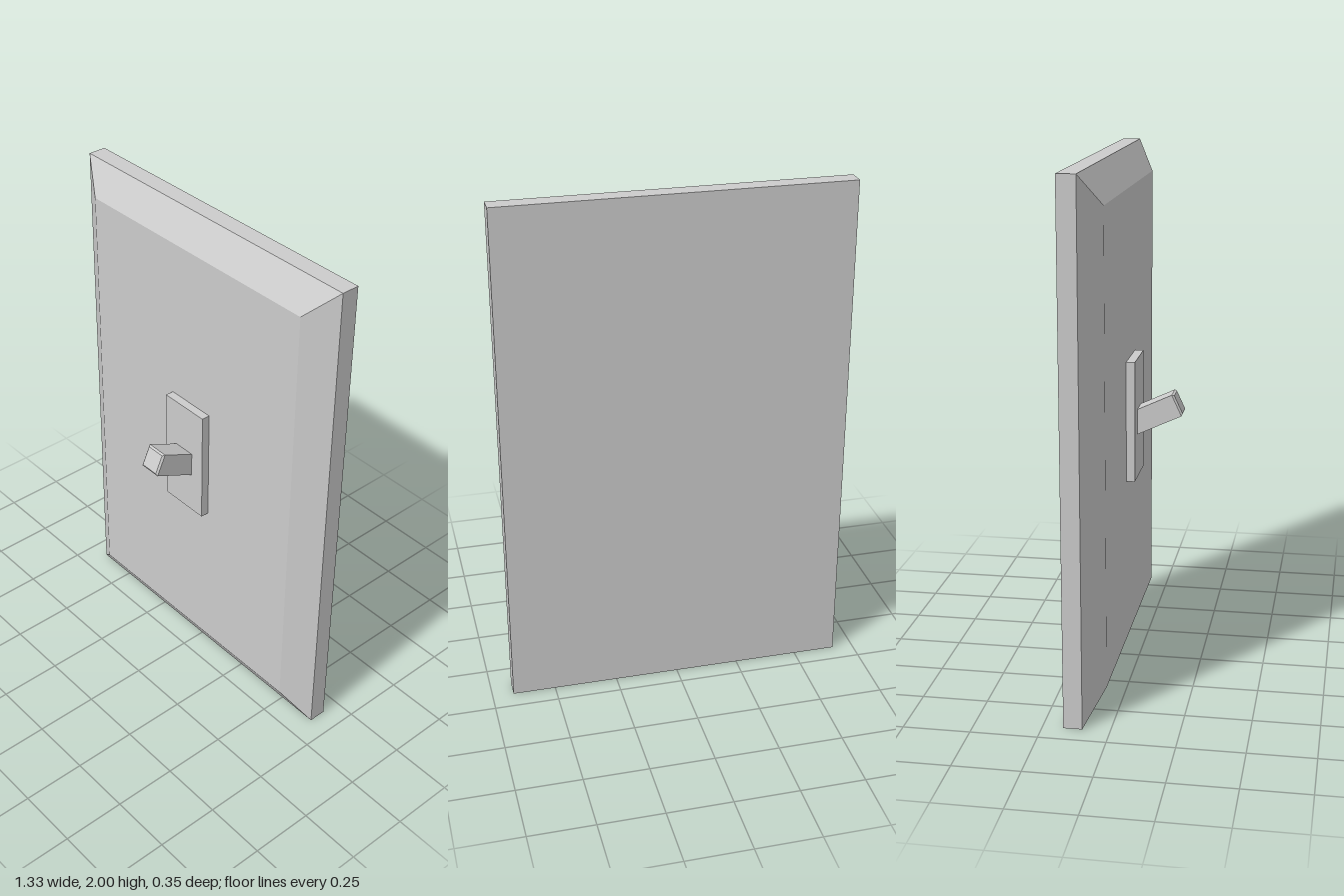
import * as THREE from 'three';

const material = new THREE.MeshStandardMaterial({ color: 0xcccccc, flatShading: true });

// Closed solid lofted through rectangular sections [halfWidth, halfHeight, z], back to front
function loftRectangles(name, sections) {
  const rings = sections.map(([w, h, z]) => [[-w, -h, z], [w, -h, z], [w, h, z], [-w, h, z]]);
  const positions = [];
  const quad = (a, b, c, d) => positions.push(...a, ...b, ...c, ...a, ...c, ...d);
  for (let i = 0; i < rings.length - 1; i++) {
    const back = rings[i], front = rings[i + 1];
    for (let k = 0; k < 4; k++) {
      const n = (k + 1) % 4;
      quad(back[k], back[n], front[n], front[k]);
    }
  }
  const first = rings[0], last = rings[rings.length - 1];
  quad(first[3], first[2], first[1], first[0]);
  quad(last[0], last[1], last[2], last[3]);

  const geometry = new THREE.BufferGeometry();
  geometry.setAttribute('position', new THREE.Float32BufferAttribute(positions, 3));
  geometry.computeVertexNormals();
  const mesh = new THREE.Mesh(geometry, material);
  mesh.name = name;
  return mesh;
}

export function createModel() {
  const model = new THREE.Group();
  model.name = 'lightSwitch';

  // Wall plate: straight rim with a wide bevel towards the front
  const plate = loftRectangles('wallPlate', [
    [0.667, 1, -0.173],
    [0.667, 1, -0.103],
    [0.55, 0.883, -0.033],
  ]);
  plate.position.y = 1;

  // Raised rectangle around the lever
  const surround = new THREE.Mesh(new THREE.BoxGeometry(0.21, 0.47, 0.044), material);
  surround.name = 'leverSurround';
  surround.position.set(0, 1.003, -0.022);

  // Lever tilted upwards, with a small chamfer at its tip
  const lever = loftRectangles('toggleLever', [
    [0.045, 0.045, -0.03],
    [0.045, 0.045, 0.167],
    [0.038, 0.038, 0.174],
  ]);
  lever.position.set(0, 0.99, 0);
  lever.rotation.x = THREE.MathUtils.degToRad(-25);

  model.add(plate, surround, lever);
  return model;
}
